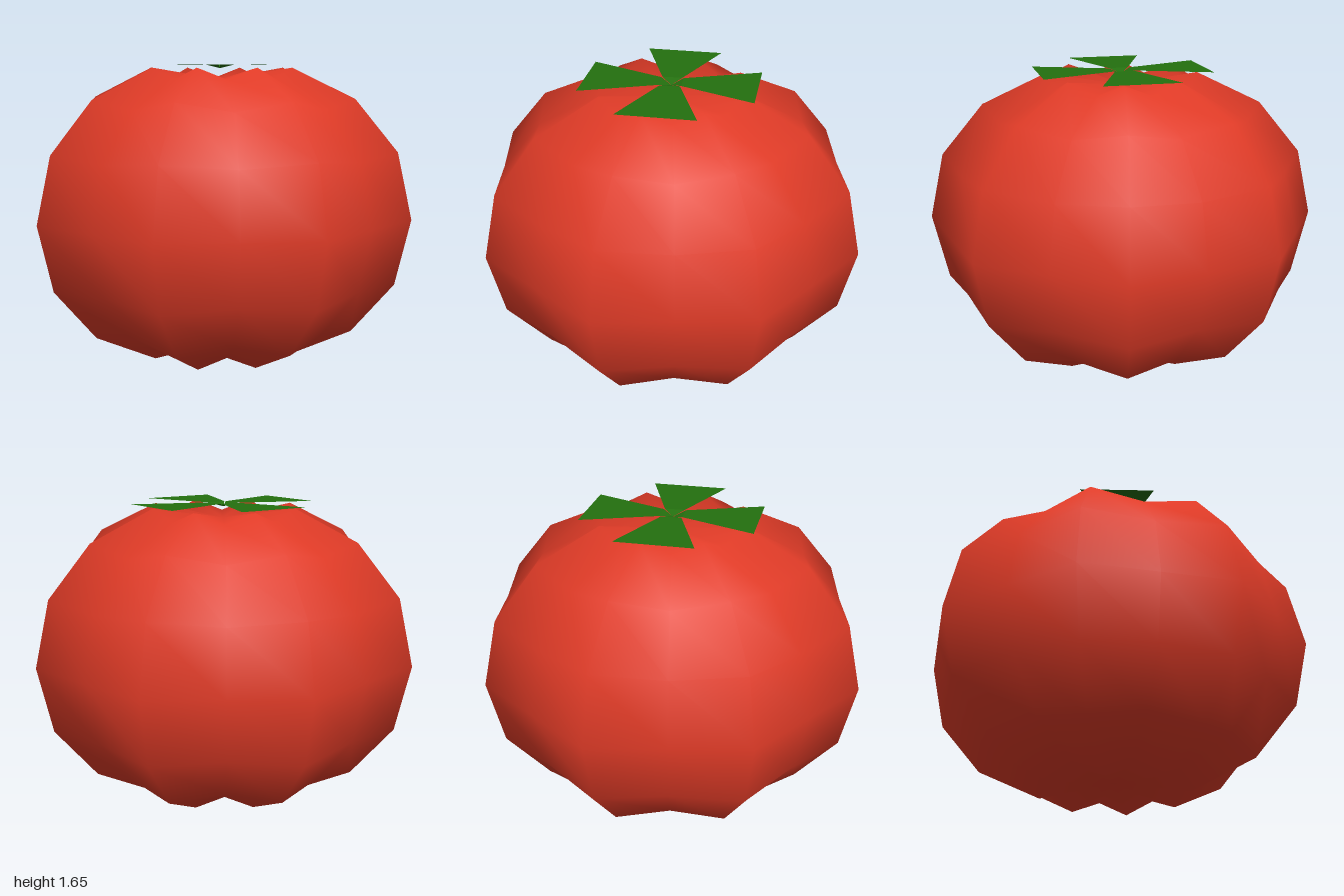
import * as THREE from 'three';

const red = new THREE.MeshStandardMaterial({ color: 0xe03b27 });
red.name = 'tomato red';
const green = new THREE.MeshStandardMaterial({ color: 0x24700f, side: THREE.DoubleSide });
green.name = 'leaf green';

// Squashed sphere: 8 ridges alternate with 8 grooves, both ends dimpled
function makeFruit() {
  const geo = new THREE.SphereGeometry(1.0824, 16, 8);
  const heights = [0.75, 0.815, 0.647, 0.364, 0, -0.364, -0.647, -0.815, -0.75];
  const pos = geo.attributes.position;
  for (let i = 0; i < pos.count; i++) {
    const ring = Math.floor(i / 17);
    const column = i % 17;
    const pole = ring === 0 || ring === 8;
    const scale = !pole && column % 2 === 0 ? 0.924 : 1;
    pos.setXYZ(i, pos.getX(i) * scale, heights[ring] * scale, pos.getZ(i) * scale);
  }
  // The sphere's own normals are kept, so the shading stays round over the grooves
  const fruit = new THREE.Mesh(geo, red);
  fruit.name = 'fruit';
  fruit.position.y = 0.815;
  return fruit;
}

// Flat leaf that dips to a point at the middle of the crown
function makeLeafGeometry() {
  const geo = new THREE.BufferGeometry();
  geo.setAttribute('position', new THREE.Float32BufferAttribute([
    0, -0.02, 0,
    0.08, 0, 0.008,
    0.5, 0, -0.085,
    0.268, 0, -0.432,
    0.016, 0, -0.08,
  ], 3));
  geo.setIndex([0, 1, 4, 1, 2, 3, 1, 3, 4]);
  const flat = geo.toNonIndexed();
  flat.computeVertexNormals();
  return flat;
}

export function createModel() {
  const model = new THREE.Group();
  model.name = 'tomato';
  model.add(makeFruit());

  // Crown of four leaves
  const crown = new THREE.Group();
  crown.name = 'leafCrown';
  crown.position.y = 1.647;
  const leafGeometry = makeLeafGeometry();
  for (let i = 0; i < 4; i++) {
    const leaf = new THREE.Mesh(leafGeometry, green);
    leaf.name = 'leaf';
    leaf.rotation.y = i * Math.PI / 2;
    crown.add(leaf);
  }
  model.add(crown);
  return model;
}
